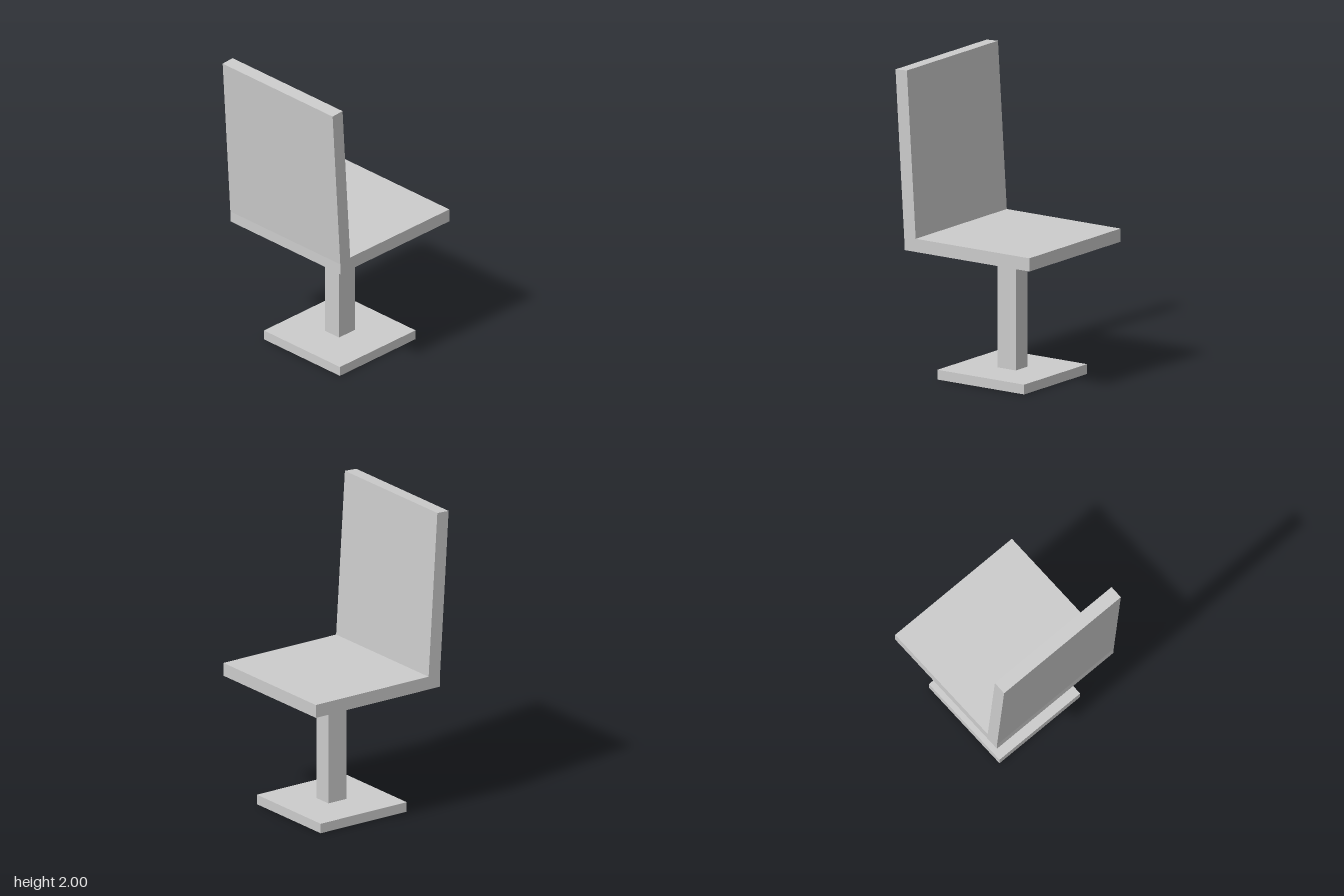
import * as THREE from 'three';

export function createModel() {
  const group = new THREE.Group();
  const material = new THREE.MeshStandardMaterial({ color: 0xcccccc, flatShading: true });

  const add = (name, geometry) => {
    const mesh = new THREE.Mesh(geometry, material);
    mesh.name = name;
    group.add(mesh);
    return mesh;
  };

  // Box given by its size, bottom height and z centre
  const block = (name, width, height, depth, bottom, z) =>
    add(name, new THREE.BoxGeometry(width, height, depth)).position.set(0, bottom + height / 2, z);

  // Square foot plate and post
  block('base', 0.67, 0.063, 0.67, 0, -0.032);
  block('post', 0.124, 0.777, 0.14, 0.063, -0.034);

  // Seat and leaning backrest: one side profile (z, y) drawn out across x
  const width = 0.97;
  const profile = new THREE.Shape([
    [-0.516, 0.842], [0.45, 0.842], [0.45, 0.912], [0.518, 1.995],
    [0.43, 2], [0.362, 0.927], [-0.516, 0.927],
  ].map(([z, y]) => new THREE.Vector2(z, y)));
  const seat = new THREE.ExtrudeGeometry(profile, { depth: width, bevelEnabled: false });
  seat.translate(0, 0, -width / 2).rotateY(-Math.PI / 2);
  add('seatAndBackrest', seat);

  return group;
}
